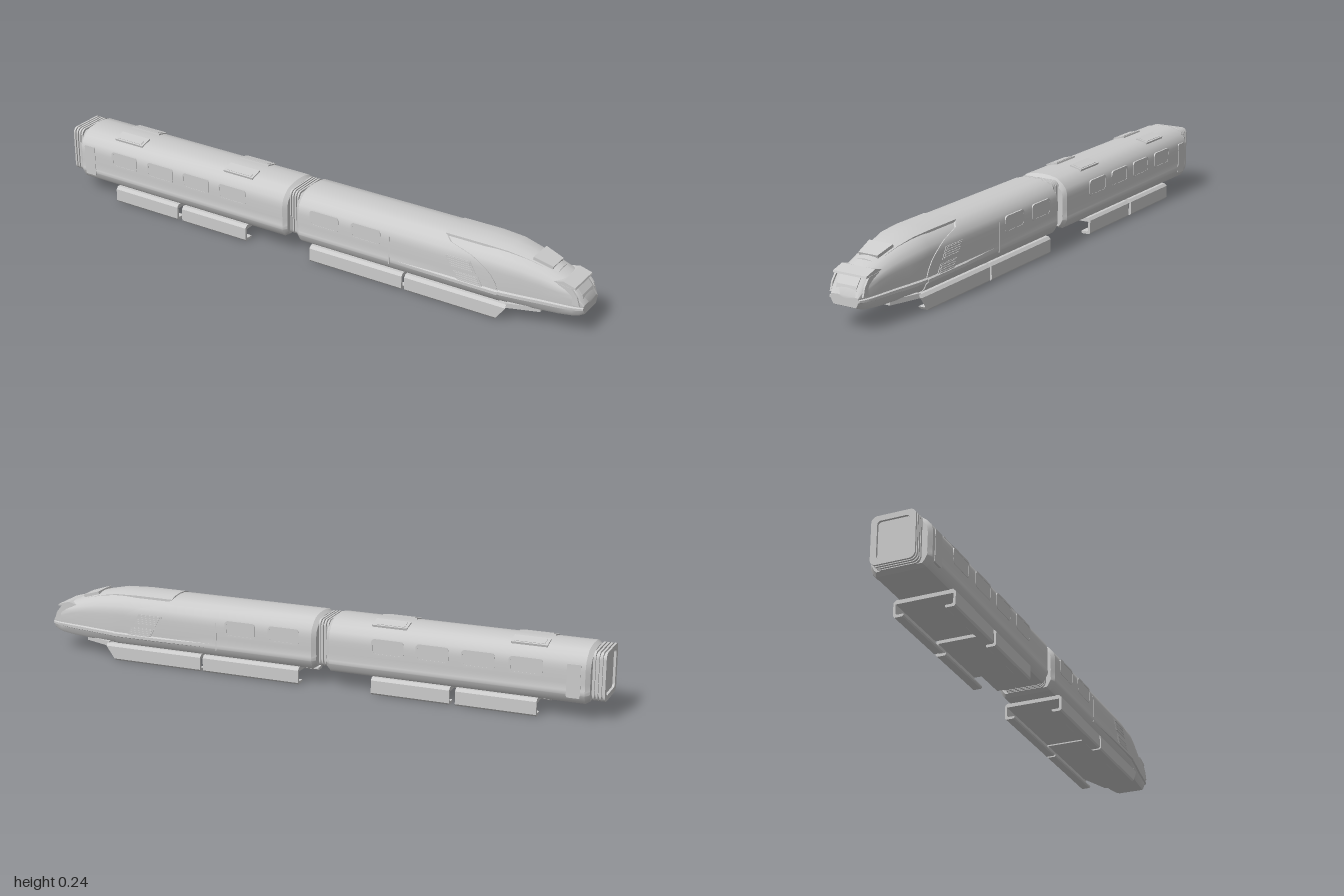
import * as THREE from 'three';
import { toCreasedNormals } from 'three/addons/utils/BufferGeometryUtils.js';

const grey = new THREE.MeshStandardMaterial({ color: 0xcccccc });

// Half cross-section of a car, bottom centre to top centre: [z, y]
const PROFILE = [
  [0, 0.057], [0.082, 0.057], [0.09, 0.066], [0.099, 0.085], [0.1, 0.088], [0.1, 0.098], [0.099, 0.102],
  [0.1, 0.125], [0.1, 0.15], [0.1, 0.165], [0.099, 0.18], [0.094, 0.196], [0.079, 0.214],
  [0.06, 0.228], [0.03, 0.234], [0, 0.236],
];
const TOP = 0.236, BOTTOM = 0.057, BELT = 0.1;

// One closed ring of a car body; x may be a number or a function of height
function section(x, w = 1, top = TOP, bottom = BOTTOM, ridge = 0) {
  const half = PROFILE.map(([z, y], i) => {
    const yy = y > BELT
      ? BELT + (y - BELT) * (top - BELT) / (TOP - BELT)
      : BELT - (BELT - y) * (BELT - bottom) / (BELT - BOTTOM);
    const out = i === 4 || i === 5 ? ridge : 0;
    return [typeof x === 'function' ? x(y) : x, yy, z * w + out];
  });
  return mirrorRing(half);
}

function mirrorRing(half) {
  return half.concat(half.slice(1, -1).reverse().map(([x, y, z]) => [x, y, -z]));
}

// Skin a list of rings ordered along +x and close both ends
function loft(rings, crease = 0.5) {
  const pos = [], n = rings[0].length;
  const tri = (a, b, c) => pos.push(...a, ...b, ...c);
  for (let i = 0; i < rings.length - 1; i++) {
    for (let j = 0; j < n; j++) {
      const k = (j + 1) % n, a = rings[i], b = rings[i + 1];
      tri(a[j], b[j], b[k]);
      tri(a[j], b[k], a[k]);
    }
  }
  [rings[0], rings[rings.length - 1]].forEach((ring, end) => {
    const mid = [0, 1, 2].map(c => ring.reduce((s, p) => s + p[c], 0) / n);
    ring.forEach((p, j) => {
      const q = ring[(j + 1) % n];
      end ? tri(mid, q, p) : tri(mid, p, q);
    });
  });
  const geo = new THREE.BufferGeometry();
  geo.setAttribute('position', new THREE.Float32BufferAttribute(pos, 3));
  return toCreasedNormals(geo, crease);
}

function add(parent, name, geo) {
  const mesh = new THREE.Mesh(geo, grey);
  mesh.name = name;
  parent.add(mesh);
  return mesh;
}

const polygon = pts => new THREE.Shape(pts.map(p => new THREE.Vector2(...p)));

function roundRect(w, h, r, Type = THREE.Shape) {
  const s = new Type(), x = w / 2, y = h / 2;
  s.moveTo(-x + r, -y).lineTo(x - r, -y);
  s.absarc(x - r, -y + r, r, -Math.PI / 2, 0);
  s.absarc(x - r, y - r, r, 0, Math.PI / 2);
  s.absarc(-x + r, y - r, r, Math.PI / 2, Math.PI);
  s.absarc(-x + r, -y + r, r, Math.PI, Math.PI * 1.5);
  return s;
}

const extrude = (shape, depth) =>
  new THREE.ExtrudeGeometry(shape, { depth, bevelEnabled: false, curveSegments: 5 });

// Extrude a z-y outline along x, starting at x0
const alongX = (shape, x0, length) => extrude(shape, length).rotateY(Math.PI / 2).translate(x0, 0, 0);

// Extrude an x-y outline onto both flanks between z0 and z0 + depth
function onFlanks(parent, name, shape, z0, depth, x = 0, y = 0) {
  for (const side of [1, -1]) {
    const z = side > 0 ? z0 : -z0 - depth;
    add(parent, name, extrude(shape, depth).translate(x, y, z));
  }
}

function windows(parent, centres) {
  for (const x of centres) {
    const frame = roundRect(0.112, 0.056, 0.014);
    frame.holes.push(roundRect(0.1, 0.044, 0.01, THREE.Path));
    onFlanks(parent, 'windowFrame', frame, 0.095, 0.0065, x, 0.163);
    onFlanks(parent, 'windowPane', roundRect(0.104, 0.048, 0.01), 0.094, 0.0063, x, 0.163);
  }
}

// Running gear cover: deck with hanging walls and inturned feet
function skirt(parent, x0, x1, raked) {
  const half = [[0.094, 0.058], [0.103, 0.049], [0.103, 0.006], [0.098, 0], [0.072, 0], [0.068, 0.004],
    [0.068, 0.009], [0.09, 0.009], [0.095, 0.013], [0.095, 0.044]];
  const outline = half.concat(half.slice().reverse().map(([z, y]) => [-z, y]));
  const geo = alongX(polygon(outline), x0, x1 - x0);
  if (raked) {
    const p = geo.attributes.position;
    for (let i = 0; i < p.count; i++) {
      if (p.getX(i) > x1 - 0.01) p.setX(i, x1 - 0.035 * Math.max(0, 1 - p.getY(i) / 0.049));
    }
    geo.computeVertexNormals();
  }
  add(parent, 'skirt', geo);
}

// Ribbed gangway between x0 and x1
function gangway(parent, x0, x1, ribs) {
  const group = new THREE.Group();
  group.name = 'gangway';
  parent.add(group);
  const step = (x1 - x0) / ribs;
  for (let i = 0; i < ribs; i++) {
    for (const [grow, from, len] of [[0, 0, 0.6], [-0.012, 0.6, 0.4]]) {
      const ring = roundRect(0.146 + grow, 0.162 + grow, 0.02);
      ring.holes.push(roundRect(0.106, 0.126, 0.012, THREE.Path));
      add(group, 'gangwayRib', alongX(ring, x0 + step * (i + from), step * len).translate(0, 0.144, 0));
    }
  }
  add(group, 'gangwayDoor', alongX(roundRect(0.112, 0.132, 0.012), x0 + 0.008, 0.01).translate(0, 0.144, 0));
}

export function createModel() {
  const model = new THREE.Group();
  model.name = 'train';

  // Rear car
  const rear = new THREE.Group();
  rear.name = 'rearCar';
  model.add(rear);
  add(rear, 'rearBody', loft([section(-0.956, 0.9, 0.226, 0.065), section(-0.942),
    section(-0.08), section(-0.066, 0.9, 0.226, 0.065)]));
  windows(rear, [-0.75, -0.592, -0.438, -0.285]);
  onFlanks(rear, 'door', roundRect(0.045, 0.11, 0.006), 0.09, 0.0115, -0.905, 0.132);
  skirt(rear, -0.79, -0.52);
  skirt(rear, -0.5, -0.23);
  for (const x of [-0.75, -0.28]) {
    for (const side of [1, -1]) {
      const hatch = add(rear, 'roofHatch', new THREE.BoxGeometry(0.12, 0.012, 0.045));
      hatch.position.set(x, 0.2285, side * 0.047);
      hatch.rotation.x = side * 0.25;
      const lid = add(rear, 'roofHatchLid', new THREE.BoxGeometry(0.1, 0.012, 0.033));
      lid.position.set(x, 0.2297, side * 0.0473);
      lid.rotation.x = side * 0.25;
    }
  }

  // Front car: its shell ends in a sweeping edge that overlaps the nose
  const front = new THREE.Group();
  front.name = 'frontCar';
  model.add(front);
  const sweep = y => 0.52 + 0.21 * Math.sqrt(Math.max(0, 1 - Math.max(0, (y - 0.085) / 0.13) ** 2));
  add(front, 'frontBody', loft([section(-0.03, 0.9, 0.226, 0.065), section(-0.016),
    section(0.36), section(y => Math.min(sweep(y), 0.46 + sweep(y) * 0.1), 1, TOP, BOTTOM, 0.004),
    section(sweep, 1, TOP, BOTTOM, 0.005)]));
  const nose = [
    [0.48, 0.965, 0.233, 0.058], [0.7, 0.965, 0.233, 0.058], [0.74, 0.955, 0.23, 0.058],
    [0.8, 0.87, 0.219, 0.058], [0.86, 0.77, 0.203, 0.058], [0.92, 0.69, 0.182, 0.06],
    [0.965, 0.62, 0.163, 0.064], [0.985, 0.56, 0.137, 0.068], [1, 0.5, 0.108, 0.075],
  ];
  add(front, 'nose', loft(nose.map(([x, w, top, bottom]) => section(x, w, top, bottom, 0.005))));
  windows(front, [0.085, 0.245]);
  onFlanks(front, 'panelSeam', roundRect(0.004, 0.1, 0.001), 0.095, 0.006, 0.335, 0.13);
  skirt(front, 0.03, 0.385);
  skirt(front, 0.395, 0.76, true);

  // Tapering deck below the nose
  const deck = polygon([[0.755, 0.094], [0.755, -0.094], [0.86, -0.058], [0.86, 0.058]]);
  add(front, 'noseDeck', extrude(deck, 0.016).rotateX(Math.PI / 2).translate(0, 0.062, 0));

  // Cab canopy and windscreen
  const canopy = [[0.52, 0.062, 0.24], [0.66, 0.062, 0.24], [0.74, 0.058, 0.236],
    [0.8, 0.05, 0.224], [0.86, 0.043, 0.208], [0.9, 0.038, 0.192]];
  add(front, 'canopy', loft(canopy.map(([x, w, top]) => mirrorRing([
    [x, top - 0.03, 0], [x, top - 0.03, w], [x, top - 0.01, w], [x, top - 0.003, w * 0.6], [x, top, 0],
  ]))));
  const screen = polygon([[-0.034, 0.044], [-0.034, -0.044], [0.034, -0.035], [0.034, 0.035]]);
  const windscreen = add(front, 'windscreen', extrude(screen, 0.01).rotateX(Math.PI / 2));
  windscreen.position.set(0.852, 0.213, 0);
  windscreen.rotation.z = -0.3;

  // Nose face: centre panel, lamps either side, brow above
  const face = [[0.92, 0.166], [0.966, 0.162], [0.987, 0.136], [0.996, 0.107], [0.92, 0.107]];
  add(front, 'nosePanel', extrude(polygon(face), 0.074).translate(0, 0, -0.037));
  onFlanks(front, 'lampRecess', polygon(face), 0.037, 0.019, -0.014, 0);
  onFlanks(front, 'lampSurround', polygon(face), 0.056, 0.006, -0.006, 0);
  const brow = polygon([[0.9, 0.17], [0.93, 0.178], [0.972, 0.166], [0.974, 0.16], [0.9, 0.16]]);
  add(front, 'brow', extrude(brow, 0.122).translate(0, 0, -0.061));

  // Slatted side vents
  for (const [x, y] of [[0.54, 0.139], [0.57, 0.091]]) {
    const slant = (a, b, inset) => polygon([
      [x + 0.02 - 0.02 * a + inset, y + 0.037 * a], [x + 0.11 - 0.02 * a - inset, y + 0.037 * a],
      [x + 0.11 - 0.02 * b - inset, y + 0.037 * b], [x + 0.02 - 0.02 * b + inset, y + 0.037 * b],
    ]);
    onFlanks(front, 'ventPlate', slant(0, 1, 0), 0.094, 0.0075);
    for (let i = 0; i < 5; i++) {
      onFlanks(front, 'ventSlat', slant(0.06 + i * 0.19, 0.16 + i * 0.19, 0.006), 0.1, 0.0035);
    }
  }

  // Gangways at the rear end and between the cars
  gangway(model, -1, -0.954, 4);
  gangway(model, -0.068, -0.028, 4);
  return model;
}
